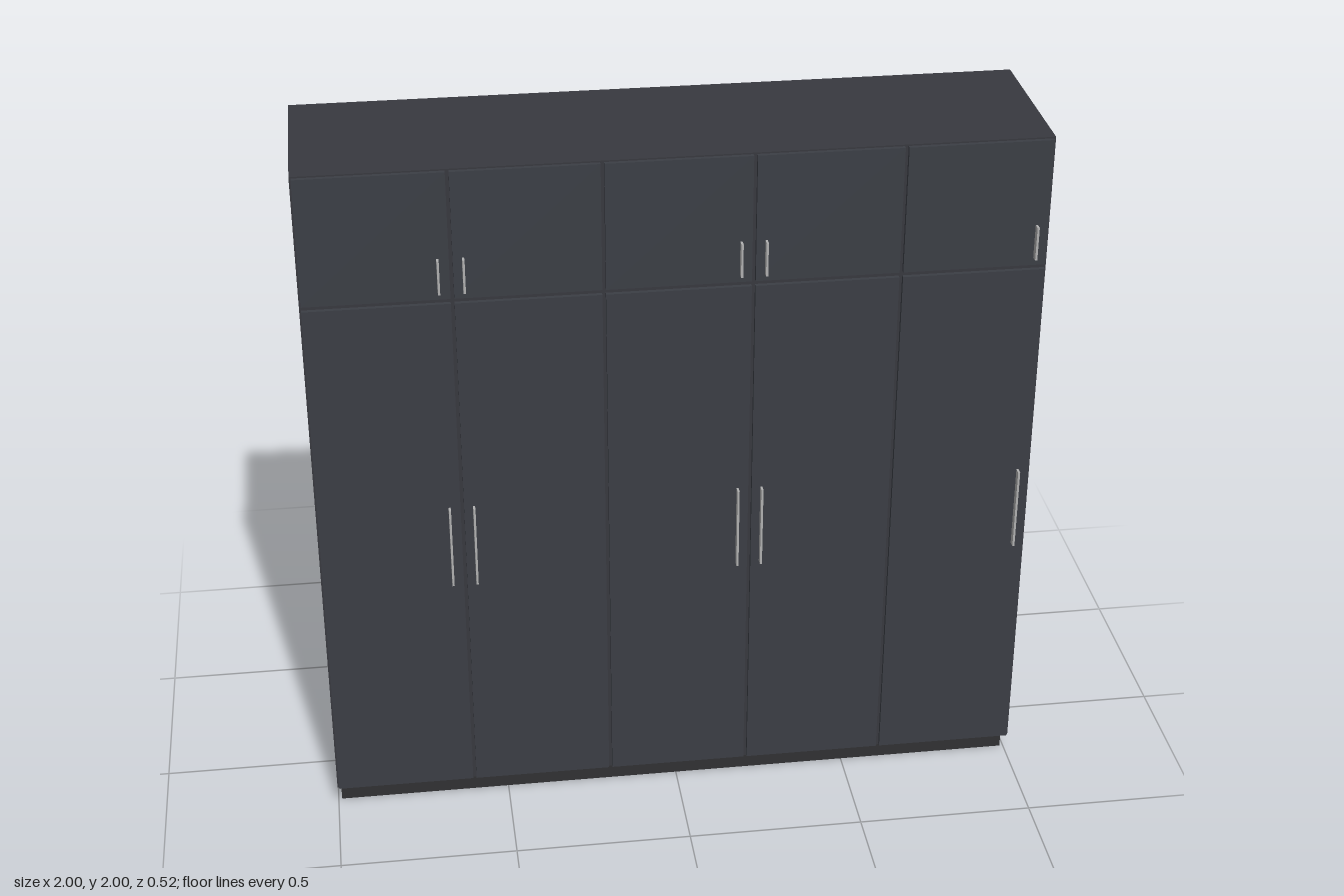
import * as THREE from 'three';

const bodyMat = new THREE.MeshStandardMaterial({ color: 0x38393f });
const doorMat = new THREE.MeshStandardMaterial({ color: 0x3b3e45 });
const plinthMat = new THREE.MeshStandardMaterial({ color: 0x313133 });
const handleMat = new THREE.MeshStandardMaterial({ color: 0xb0b0b0 });

// Box given by its min and max on each axis
function block(name, mat, [x0, x1], [y0, y1], [z0, z1]) {
  const mesh = new THREE.Mesh(new THREE.BoxGeometry(x1 - x0, y1 - y0, z1 - z0), mat);
  mesh.position.set((x0 + x1) / 2, (y0 + y1) / 2, (z0 + z1) / 2);
  mesh.name = name;
  return mesh;
}

export function createModel() {
  const wardrobe = new THREE.Group();
  wardrobe.name = 'wardrobe';

  // Recessed plinth and main cabinet
  wardrobe.add(block('plinth', plinthMat, [-0.99, 0.99], [0, 0.07], [-0.26, 0.19]));
  wardrobe.add(block('cabinet', bodyMat, [-1, 1], [0.07, 2], [-0.26, 0.228]));

  // Two rows of five doors, each with an optional handle near one edge
  const rows = [
    { name: 'lower', y: [0.074, 1.622], handleY: [0.757, 1.0] },
    { name: 'upper', y: [1.636, 1.996], handleY: [1.658, 1.754] },
  ];
  const handleX = [-0.635, -0.568, 0.165, 0.232, 0.963];
  const gap = 0.005, doorWidth = 0.4;

  for (const row of rows) {
    for (let i = 0; i < 5; i++) {
      const x = -1 + i * doorWidth;
      wardrobe.add(block(row.name + 'Door', doorMat, [x + gap, x + doorWidth - gap], row.y, [0.228, 0.24]));
    }
    for (const x of handleX) {
      wardrobe.add(block(row.name + 'Handle', handleMat, [x - 0.003, x + 0.003], row.handleY, [0.24, 0.26]));
    }
  }
  return wardrobe;
}
